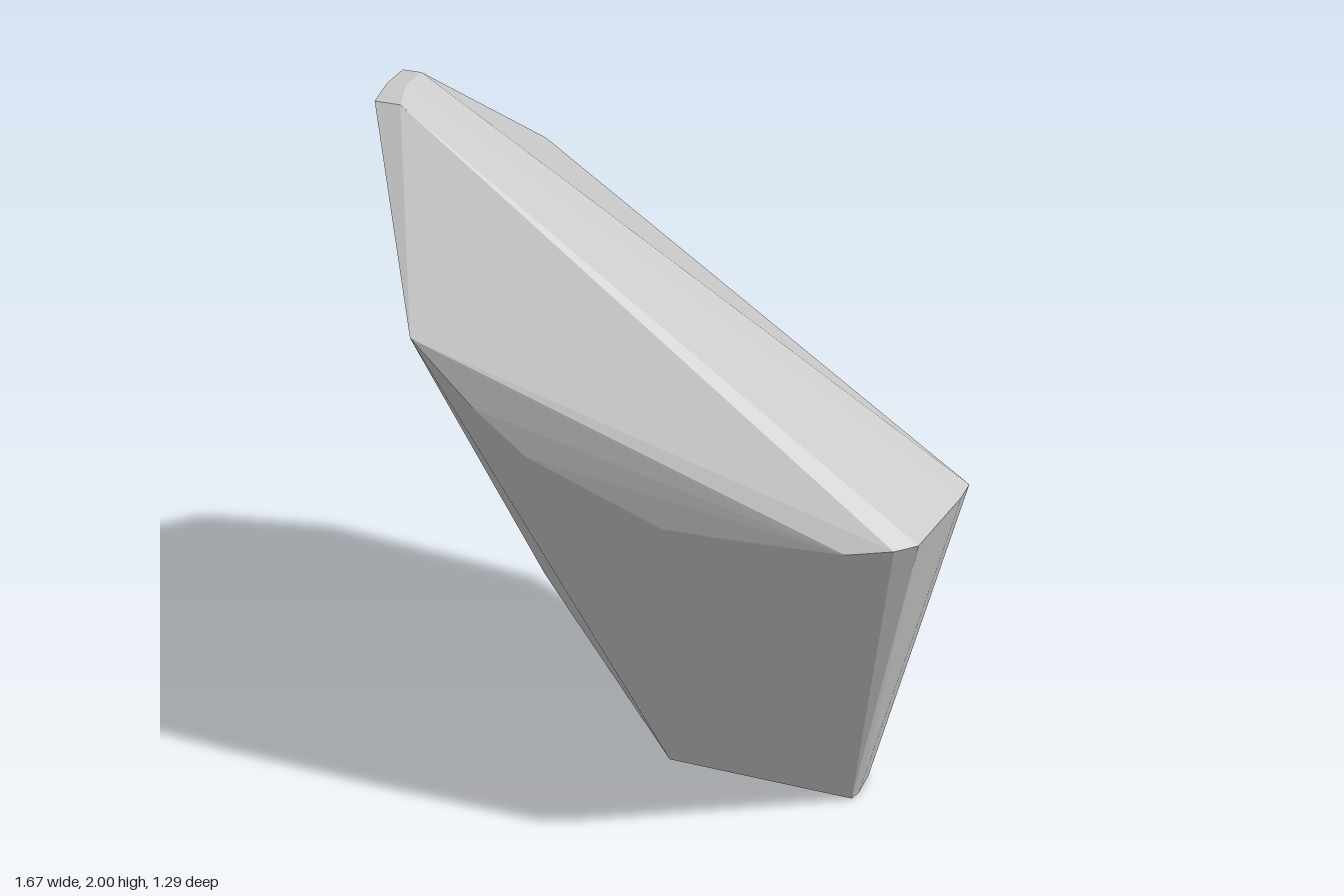
import * as THREE from 'three';
import { ConvexGeometry } from 'three/addons/geometries/ConvexGeometry.js';

export function createModel() {
  const group = new THREE.Group();
  group.name = 'rock';
  const stone = new THREE.MeshStandardMaterial({ color: 0xc8c8c8 });
  stone.name = 'greyStone';

  // Chipped peak
  const peak = [
    [-0.835, 2, 0.06], [-0.78, 2, 0.06], [-0.835, 2, 0.16], [-0.78, 2, 0.16],
    [-0.835, 1.98, 0.24], [-0.76, 1.98, 0.24],
  ];
  // Rounded front lip, running from the high side to the low corner
  const lip = [
    [-0.58, 1.5, 0.62], [-0.4, 1.335, 0.637], [-0.25, 1.22, 0.643], [0.13, 1.08, 0.645],
    [0.3, 1.085, 0.645], [0.63, 1.105, 0.645], [0.75, 1.12, 0.61], [0.8, 1.12, 0.56],
    [0.833, 1.12, 0.28], [0.833, 1.12, 0.21],
  ];
  // Back corner with bevelled edge
  const back = [
    [-0.655, 1.6, -0.49], [-0.655, 1.555, -0.52],
    [-0.79, 0.92, -0.645], [-0.73, 0.92, -0.645],
    [-0.785, 0.1, -0.645], [-0.73, 0.095, -0.645], [-0.72, 0.085, -0.55],
  ];
  // Small flat foot
  const foot = [
    [-0.2, 0, -0.03], [-0.12, 0, -0.1], [-0.04, 0, 0.15],
    [0.515, 0, 0.155], [0.525, 0, 0.12], [0.525, 0, 0.03],
  ];

  const points = [...peak, ...lip, ...back, ...foot].map((p) => new THREE.Vector3(...p));
  const body = new THREE.Mesh(new ConvexGeometry(points), stone);
  body.name = 'rockBody';
  group.add(body);
  return group;
}
